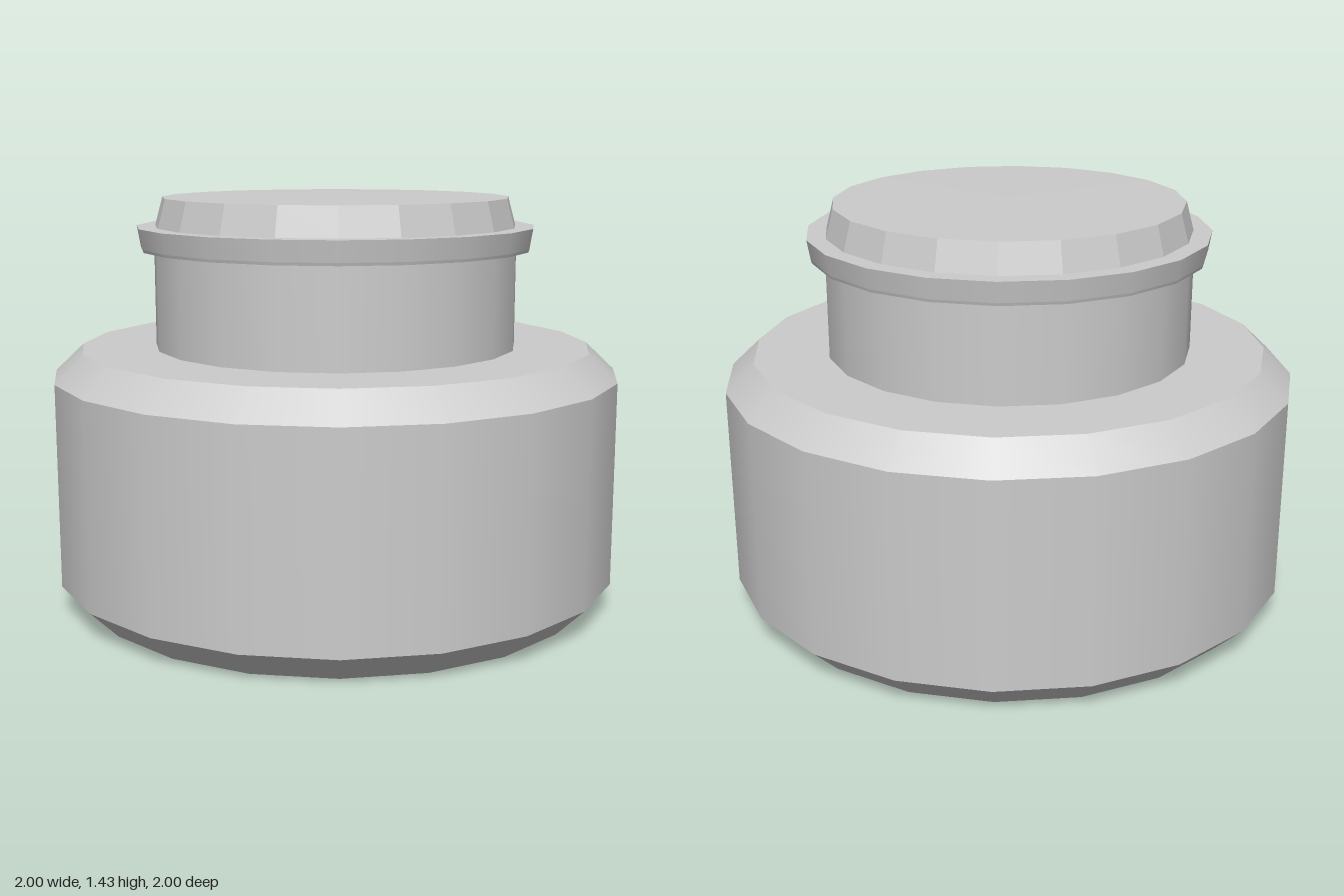
import * as THREE from 'three';
import { mergeGeometries } from 'three/addons/utils/BufferGeometryUtils.js';

const SIDES = 20;
const material = new THREE.MeshStandardMaterial({ color: 0xcccccc });
const flatMaterial = new THREE.MeshStandardMaterial({ color: 0xcccccc, flatShading: true });

// Revolve each profile segment on its own: smooth around, sharp between bands.
function turned(name, profile, mat = material) {
  const bands = [];
  for (let i = 0; i + 1 < profile.length; i++) {
    const pair = [profile[i], profile[i + 1]].map(([r, y]) => new THREE.Vector2(r, y));
    bands.push(new THREE.LatheGeometry(pair, SIDES));
  }
  const mesh = new THREE.Mesh(mergeGeometries(bands), mat);
  mesh.name = name;
  return mesh;
}

export function createModel() {
  const jar = new THREE.Group();
  jar.name = 'jar';
  jar.add(
    // Squat body with chamfered base and shoulder
    turned('body', [[0, 0], [0.9, 0], [1, 0.1], [1, 0.81], [0.9, 0.905], [0.64, 0.905]]),
    // Straight neck
    turned('neck', [[0.64, 0.905], [0.64, 1.25]]),
    // Flared rim around the stopper
    turned('rim', [[0.64, 1.245], [0.685, 1.245], [0.688, 1.255], [0.7, 1.325], [0.635, 1.325]]),
    // Faceted stopper with a nearly flat top
    turned('stopper', [[0.635, 1.325], [0.608, 1.425], [0, 1.432]], flatMaterial)
  );
  return jar;
}
